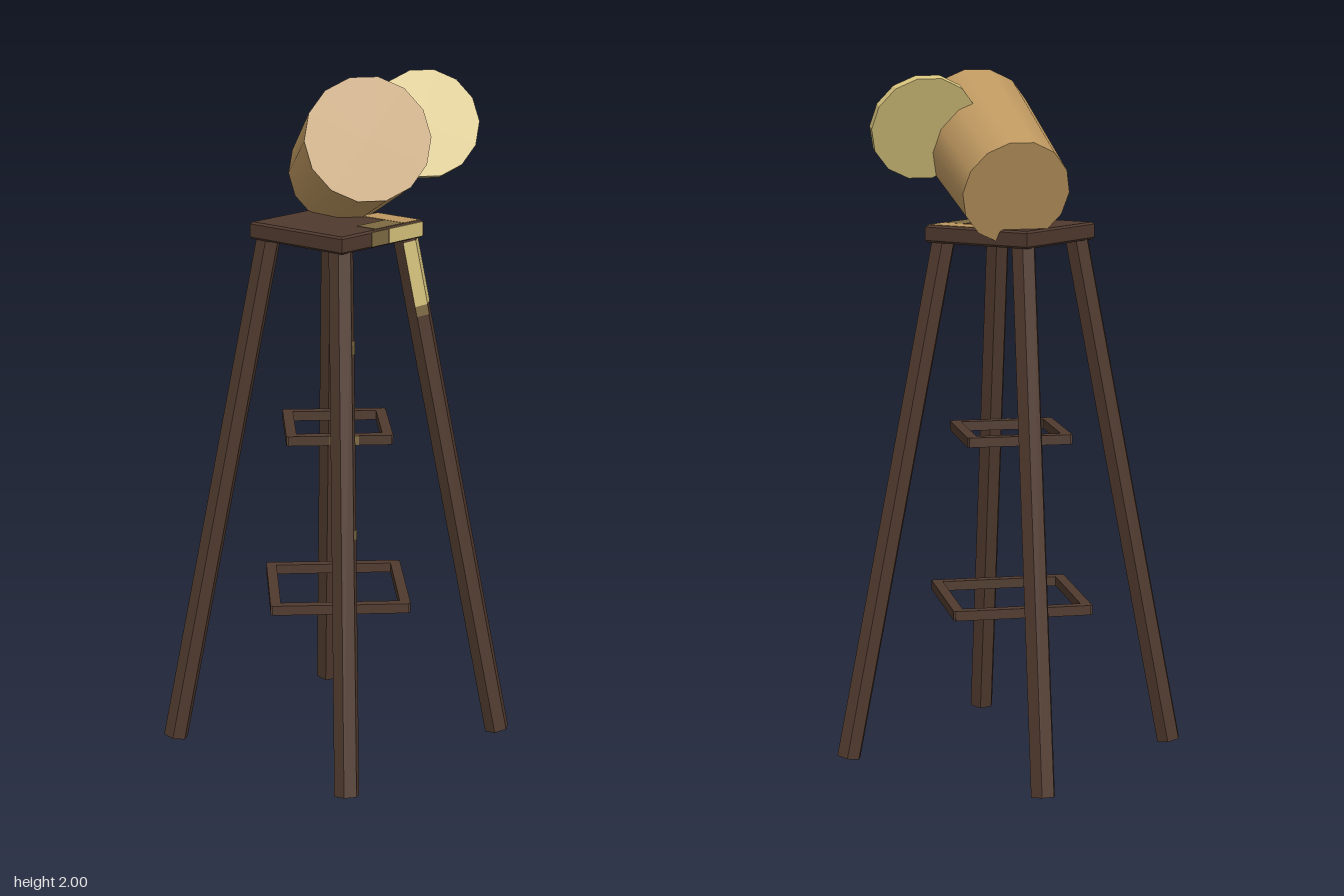
import * as THREE from 'three';

const mat = (name, color, extra = {}) => {
  const m = new THREE.MeshStandardMaterial({ color, ...extra });
  m.name = name;
  return m;
};

export function createModel() {
  const model = new THREE.Group();
  model.name = 'stoolWithMallet';

  const darkWood = mat('darkWood', 0x503a2e, { flatShading: true });
  const tanWood = mat('tanWood', 0xbe9860);
  const paleWood = mat('paleWood', 0xd6c27c, { flatShading: true });
  const stain = mat('stain', 0x7d6a42, { flatShading: true });

  const add = (name, geometry, material, parent = model) => {
    const mesh = new THREE.Mesh(geometry, material);
    mesh.name = name;
    parent.add(mesh);
    return mesh;
  };
  const up = new THREE.Vector3(0, 1, 0);

  // Seat slab with a small chamfer
  const h = 0.169, bevel = 0.006;
  const square = new THREE.Shape([[-h, -h], [h, -h], [h, h], [-h, h]].map(p => new THREE.Vector2(...p)));
  const seatGeo = new THREE.ExtrudeGeometry(square, {
    depth: 0.038, bevelEnabled: true, bevelSize: bevel, bevelThickness: bevel, bevelSegments: 1,
  });
  seatGeo.rotateX(-Math.PI / 2);
  add('seat', seatGeo, darkWood).position.y = 1.515 + bevel;

  // Four splayed hexagonal legs
  const legs = {};
  for (const sx of [-1, 1]) for (const sz of [-1, 1]) {
    const foot = new THREE.Vector3(0.341 * sx, 0.008, 0.341 * sz);
    const head = new THREE.Vector3(0.136 * sx, 1.53, 0.136 * sz);
    const axis = head.clone().sub(foot);
    const leg = new THREE.Group();
    leg.name = (sz > 0 ? 'front' : 'back') + (sx > 0 ? 'Left' : 'Right') + 'Leg';
    leg.position.copy(foot).add(head).multiplyScalar(0.5);
    leg.quaternion.setFromUnitVectors(up, axis.clone().normalize());
    add('legShaft', new THREE.CylinderGeometry(0.036, 0.037, axis.length(), 6), darkWood, leg);
    model.add(leg);
    legs[leg.name] = leg;
  }

  // Painted faces on the front legs: start angle, sweep, lower and upper height
  const paint = (leg, material, start, faces, y0, y1) => {
    const g = new THREE.CylinderGeometry(0.0385, 0.0385, y1 - y0, faces, 1, true, start, faces * Math.PI / 3);
    add('legPaint', g, material, leg).position.y = (y0 + y1) / 2 - 0.769;
  };
  paint(legs.frontLeftLeg, paleWood, -Math.PI / 3, 2, 1.33, 1.52);
  paint(legs.frontLeftLeg, stain, -Math.PI / 3, 1, 1.3, 1.33);
  paint(legs.frontRightLeg, stain, 0, 1, 1.24, 1.28);
  paint(legs.frontRightLeg, stain, 0, 1, 0.72, 0.75);

  // Two square rung frames turned by 45 degrees
  for (const [y, corner] of [[0.465, 0.265], [0.957, 0.195]]) {
    const ring = new THREE.Group();
    ring.name = 'rungFrame';
    ring.position.y = y;
    for (let i = 0; i < 4; i++) {
      const bar = add('rung', new THREE.BoxGeometry(corner * Math.SQRT2 + 0.02, 0.028, 0.03), darkWood, ring);
      const a = Math.PI / 4 + i * Math.PI / 2;
      bar.position.set(Math.sin(a) * corner / Math.SQRT2, 0, Math.cos(a) * corner / Math.SQRT2);
      bar.rotation.y = a;
    }
    model.add(ring);
  }
  const rungPaint = add('rungPaint', new THREE.BoxGeometry(0.085, 0.029, 0.004), stain);
  rungPaint.position.set(-0.1, 0.957, 0.117);
  rungPaint.rotation.y = -Math.PI / 4;

  // Thin painted plates on the front corner of the seat
  const plate = (name, material, size, pos) =>
    add(name, new THREE.BoxGeometry(...size), material).position.set(...pos);
  plate('seatFrontPaint', paleWood, [0.145, 0.042, 0.004], [0.0965, 1.54, 0.1745]);
  plate('seatFrontStain', stain, [0.07, 0.042, 0.004], [-0.015, 1.54, 0.1745]);
  plate('seatTopPaint', tanWood, [0.07, 0.003, 0.16], [0.133, 1.565, 0.088]);
  plate('seatTopStain', stain, [0.12, 0.003, 0.07], [0.035, 1.565, 0.133]);

  // Tilted, slightly tapered drum
  const back = new THREE.Vector3(0.172, 1.67, -0.137);
  const front = new THREE.Vector3(-0.112, 1.835, 0.214);
  const axis = front.clone().sub(back);
  const tilt = new THREE.Quaternion().setFromUnitVectors(up, axis.clone().normalize());
  const drum = add('drum', new THREE.CylinderGeometry(0.177, 0.155, axis.length(), 14), tanWood);
  drum.position.copy(front).add(back).multiplyScalar(0.5);
  drum.quaternion.copy(tilt);

  // Pale disc set into the drum's side, parallel to its ends
  const disc = add('disc', new THREE.CylinderGeometry(0.156, 0.156, 0.026, 14), paleWood);
  disc.position.set(0.168, 1.842, 0.182);
  disc.quaternion.copy(tilt);

  return model;
}
